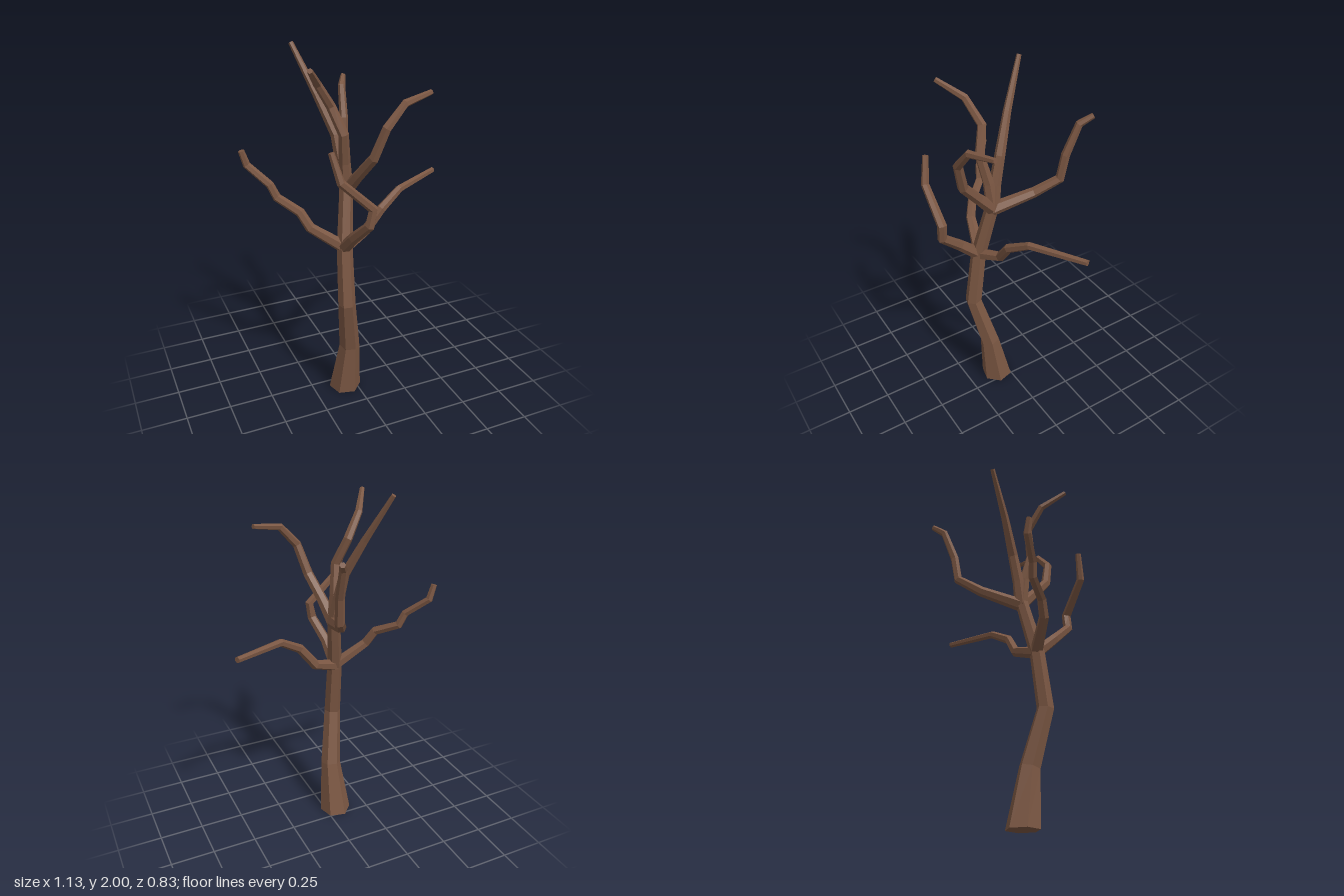
import * as THREE from 'three';

const SIDES = 6;

// Tapered limb: six-sided rings swept along points [x, y, z, radius], capped at both ends
function limb(name, points, material, startDir) {
  const centres = points.map(p => new THREE.Vector3(p[0], p[1], p[2]));
  const last = centres.length - 1;
  const side = new THREE.Vector3(1, 0, 0.25).normalize();
  const pos = [], index = [];

  centres.forEach((c, i) => {
    const before = c.clone().sub(centres[Math.max(i - 1, 0)]).normalize();
    const after = centres[Math.min(i + 1, last)].clone().sub(c).normalize();
    const dir = before.add(after).normalize();
    if (i === 0 && startDir) dir.copy(startDir);
    // Carry the side vector along so the limb does not twist
    side.addScaledVector(dir, -side.dot(dir)).normalize();
    const up = new THREE.Vector3().crossVectors(dir, side);
    for (let k = 0; k < SIDES; k++) {
      const a = (k / SIDES) * Math.PI * 2;
      const v = c.clone()
        .addScaledVector(side, Math.cos(a) * points[i][3])
        .addScaledVector(up, Math.sin(a) * points[i][3]);
      pos.push(v.x, v.y, v.z);
    }
  });

  for (let i = 0; i < last; i++) {
    for (let k = 0; k < SIDES; k++) {
      const a = i * SIDES + k, b = i * SIDES + (k + 1) % SIDES;
      index.push(a, b, b + SIDES, a, b + SIDES, a + SIDES);
    }
  }
  const top = last * SIDES;
  for (let k = 1; k < SIDES - 1; k++) {
    index.push(0, k + 1, k, top, top + k, top + k + 1);
  }

  const indexed = new THREE.BufferGeometry();
  indexed.setAttribute('position', new THREE.Float32BufferAttribute(pos, 3));
  indexed.setIndex(index);
  const geometry = indexed.toNonIndexed(); // separate faces give flat shading
  geometry.computeVertexNormals();
  const mesh = new THREE.Mesh(geometry, material);
  mesh.name = name;
  return mesh;
}

export function createModel() {
  const tree = new THREE.Group();
  tree.name = 'bareTree';
  const bark = new THREE.MeshStandardMaterial({ color: 0x7a5642 });
  bark.name = 'barkBrown';

  // Trunk, standing flat on the ground
  tree.add(limb('trunk', [
    [-0.063, 0, 0.07, 0.092], [-0.055, 0.32, 0.12, 0.058], [-0.102, 0.64, 0.195, 0.048],
    [-0.097, 0.96, 0.155, 0.043], [-0.055, 1.29, 0.08, 0.036],
  ], bark, new THREE.Vector3(0, 1, 0)));

  const branches = {
    // Lower fork
    lowerRightBranch: [
      [-0.09, 0.96, 0.15, 0.036], [-0.27, 1.09, 0.1, 0.028], [-0.31, 1.17, 0.065, 0.026],
      [-0.4, 1.23, -0.04, 0.024], [-0.43, 1.3, -0.055, 0.022],
      [-0.525, 1.395, -0.14, 0.021], [-0.55, 1.475, -0.14, 0.017],
    ],
    lowerLeftBranch: [
      [-0.1, 0.96, 0.15, 0.036], [0.05, 1.015, 0.1, 0.029], [0.14, 1.13, 0.105, 0.026],
      [0.27, 1.21, 0.06, 0.022], [0.56, 1.23, -0.087, 0.017],
    ],
    lowerFrontBranch: [
      [-0.1, 0.96, 0.15, 0.036], [-0.095, 1.07, 0.27, 0.03], [-0.06, 1.18, 0.387, 0.027],
      [-0.045, 1.27, 0.39, 0.026], [-0.215, 1.43, 0.388, 0.022], [-0.25, 1.575, 0.357, 0.016],
    ],
    // Upper fork
    upperBackBranch: [
      [-0.055, 1.26, 0.09, 0.038], [0.01, 1.325, -0.14, 0.029], [0.075, 1.405, -0.258, 0.026],
      [0.085, 1.545, -0.28, 0.024], [0.1, 1.71, -0.345, 0.021], [0.135, 1.755, -0.405, 0.015],
    ],
    upperLeftBranch: [
      [-0.055, 1.26, 0.08, 0.038], [-0.03, 1.37, 0.18, 0.03], [0.005, 1.49, 0.285, 0.028],
      [0.05, 1.65, 0.33, 0.025], [0.15, 1.76, 0.322, 0.021], [0.315, 1.79, 0.28, 0.014],
    ],
    tallBackBranch: [
      [-0.055, 1.26, 0.08, 0.038], [-0.07, 1.4, 0.055, 0.033], [-0.085, 1.55, 0.015, 0.029],
      [-0.155, 1.75, -0.075, 0.022], [-0.24, 1.992, -0.2, 0.013],
    ],
    tallFrontBranch: [
      [-0.055, 1.26, 0.08, 0.038], [-0.07, 1.42, 0.095, 0.031], [-0.09, 1.58, 0.13, 0.027],
      [-0.14, 1.72, 0.085, 0.025], [-0.225, 1.845, 0.13, 0.021], [-0.305, 1.937, 0.247, 0.014],
    ],
  };
  for (const [name, points] of Object.entries(branches)) tree.add(limb(name, points, bark));

  return tree;
}
